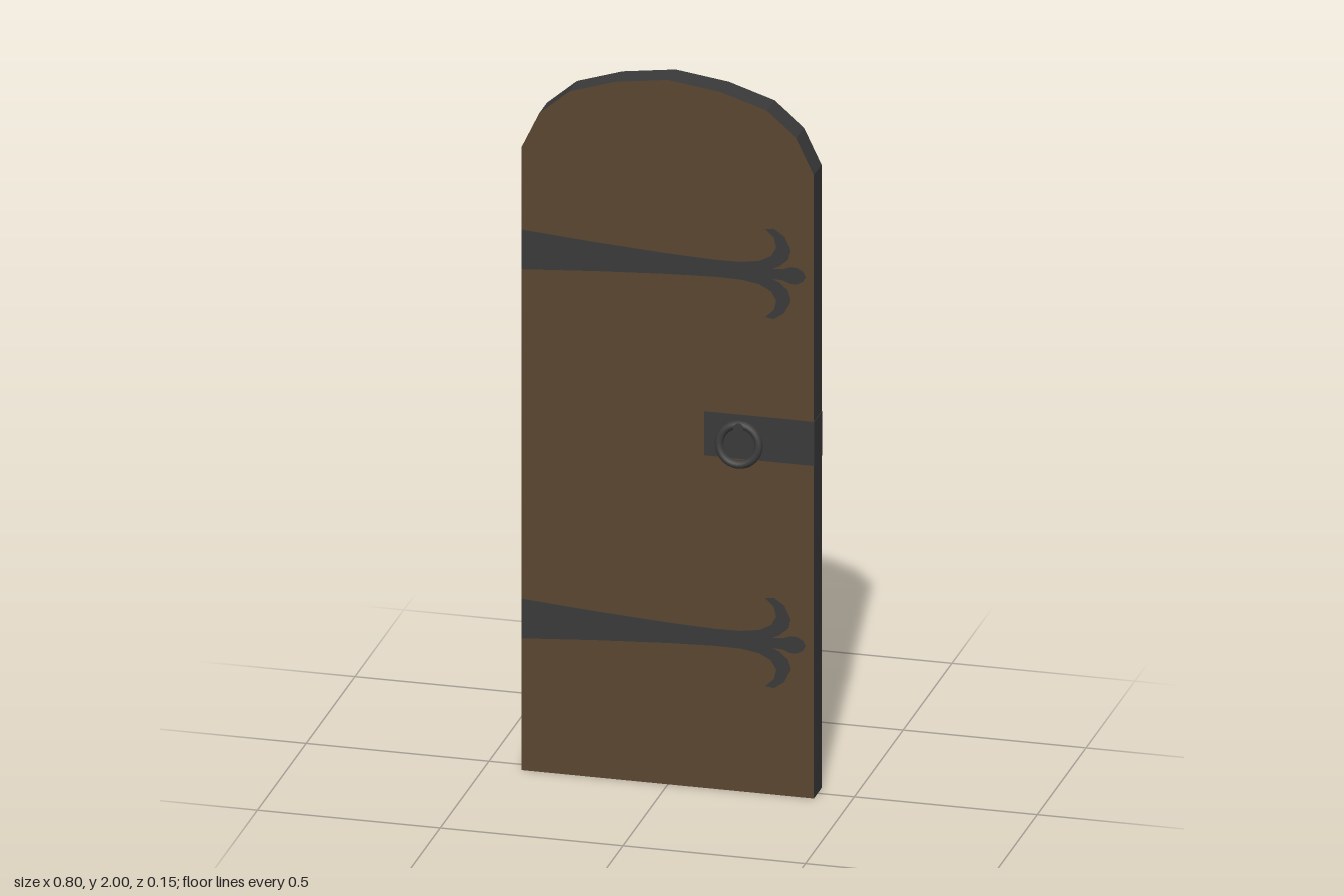
import * as THREE from 'three';

const HALF_W = 0.4, HALF_T = 0.0395, IRON_Z = 0.0415;
const wood = new THREE.MeshStandardMaterial({ color: 0x5a4630 });
const iron = new THREE.MeshStandardMaterial({ color: 0x3a3a3a });

function add(parent, name, geometry, material, x = 0, y = 0, z = 0) {
  const mesh = new THREE.Mesh(geometry, material);
  mesh.name = name;
  mesh.position.set(x, y, z);
  parent.add(mesh);
  return mesh;
}

const toShape = (points) => new THREE.Shape(points.map(([x, y]) => new THREE.Vector2(x, y)));

// Arched slab: wooden faces, iron-coloured rim
function doorGeometry() {
  const arch = [[0.4, 1.77], [0.352, 1.87], [0.27, 1.94], [0.145, 1.98]];
  const mirrored = arch.map(([x, y]) => [-x, y]).reverse();
  const shape = toShape([[-HALF_W, 0], [HALF_W, 0], ...arch, [0, 2], ...mirrored]);
  return new THREE.ExtrudeGeometry(shape, { depth: 2 * HALF_T, bevelEnabled: false }).translate(0, 0, -HALF_T);
}

// Tapered strap ending in two curled leaves and a round tip
function strapGeometry() {
  const upper = [
    [-0.4, 0.056], [-0.2, 0.041], [0, 0.029], [0.13, 0.024], [0.2, 0.025], [0.25, 0.033],
    [0.282, 0.05], [0.296, 0.075], [0.29, 0.102], [0.266, 0.125], [0.29, 0.128], [0.318, 0.108],
    [0.335, 0.07], [0.327, 0.043], [0.304, 0.023], [0.284, 0.014],
    [0.315, 0.016], [0.335, 0.024], [0.355, 0.023], [0.371, 0.014],
  ];
  const lower = upper.map(([x, y]) => [x, -y]).reverse();
  const shape = toShape([...upper, [0.377, 0], ...lower]);
  const depth = IRON_Z - HALF_T;
  return new THREE.ExtrudeGeometry(shape, { depth, bevelEnabled: false });
}

export function createModel() {
  const model = new THREE.Group();
  model.name = 'archedDoor';
  add(model, 'doorSlab', doorGeometry(), [wood, iron]);

  const strap = strapGeometry();
  const plateT = IRON_Z - HALF_T;
  const plate = new THREE.BoxGeometry(0.3, 0.125, plateT);
  const ring = new THREE.TorusGeometry(0.054, 0.0115, 10, 28);
  const post = new THREE.CylinderGeometry(0.014, 0.014, 0.022, 12).rotateX(Math.PI / 2);

  // The ironwork repeats on both faces
  for (const side of [1, -1]) {
    const face = new THREE.Group();
    face.name = side > 0 ? 'frontIronwork' : 'backIronwork';
    for (const y of [1.479, 0.431]) {
      add(face, 'hingeStrap', strap, iron, 0, y, side > 0 ? HALF_T : -IRON_Z);
    }
    add(face, 'lockPlate', plate, iron, 0.25, 1.0075, side * (HALF_T + plateT / 2));
    add(face, 'ringPost', post, iron, 0.198, 1.038, side * 0.051);
    // Pull ring hangs with its lower edge tilted outward
    const pull = add(face, 'pullRing', ring, iron, 0.198, 0.991, side * 0.0565);
    pull.rotation.x = -side * 0.15;
    model.add(face);
  }

  // Lock plate wrapped around the door edge
  add(model, 'lockEdgePlate', new THREE.BoxGeometry(0.002, 0.125, 2 * IRON_Z), iron, 0.4005, 1.0075, 0);
  return model;
}
